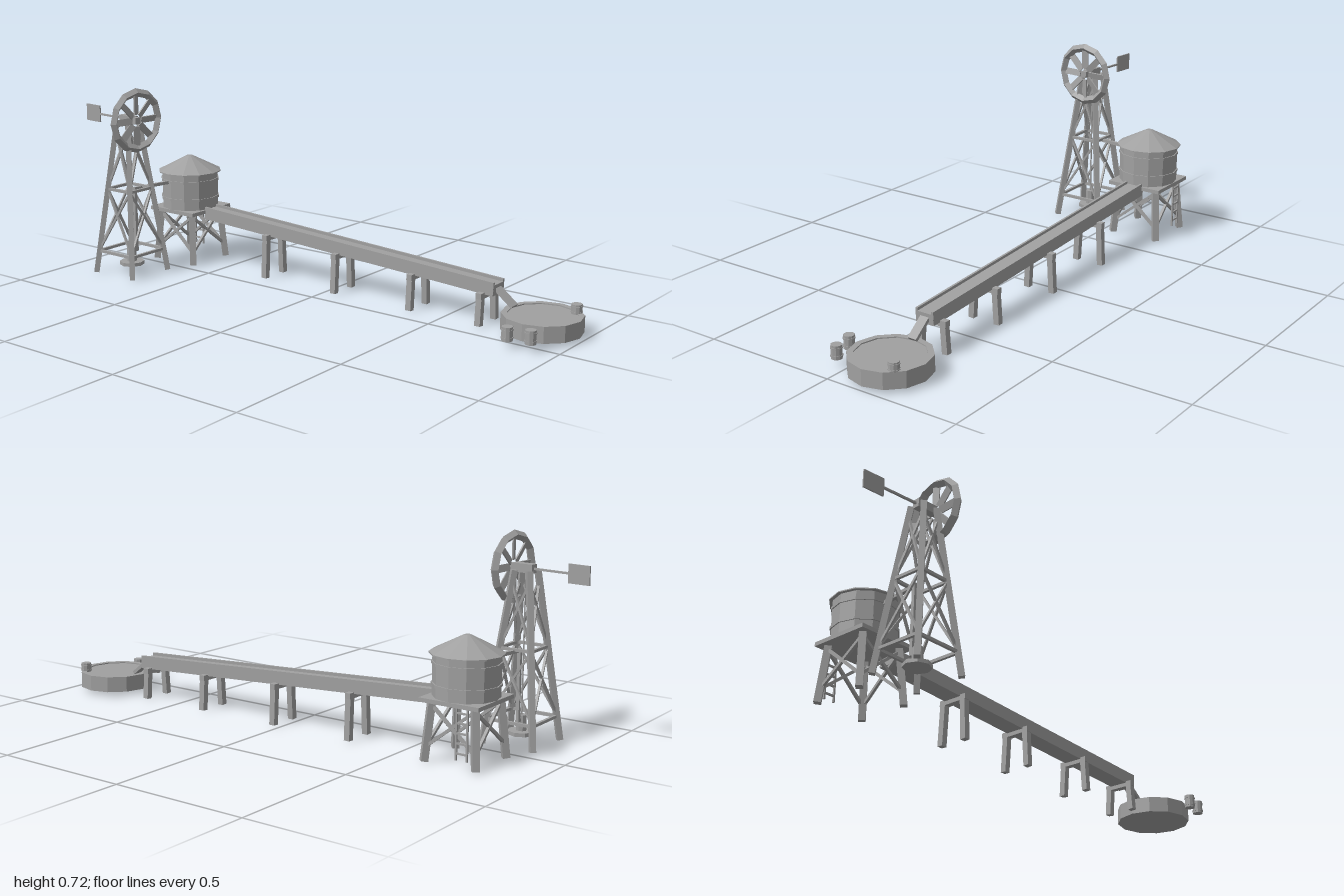
import * as THREE from 'three';

const grey = new THREE.MeshStandardMaterial({ color: 0xa0a0a0, flatShading: true });
const V = (x, y, z) => new THREE.Vector3(x, y, z);
const UP = V(0, 1, 0);

function add(parent, name, geometry, x = 0, y = 0, z = 0) {
  const m = new THREE.Mesh(geometry, grey);
  m.name = name;
  m.position.set(x, y, z);
  parent.add(m);
  return m;
}
function group(parent, name, x = 0, y = 0, z = 0) {
  const g = new THREE.Group();
  g.name = name;
  g.position.set(x, y, z);
  parent.add(g);
  return g;
}
const box = (p, name, w, h, d, x, y, z) => add(p, name, new THREE.BoxGeometry(w, h, d), x, y, z);
const drum = (p, name, r, h, x, y, z, n = 12) =>
  add(p, name, new THREE.CylinderGeometry(r, r, h, n), x, y, z);
const lathe = (p, name, pts, n = 12) =>
  add(p, name, new THREE.LatheGeometry(pts.map(([r, y]) => new THREE.Vector2(r, y)), n));

// square timber between two points, in the parent's own frame
function beam(p, name, a, b, w, h = w) {
  const m = box(p, name, w, h, a.distanceTo(b), 0, 0, 0);
  m.position.copy(a).lerp(b, 0.5);
  m.quaternion.setFromRotationMatrix(new THREE.Matrix4().lookAt(b, a, UP));
}
// corner of a tapering four-legged frame, i = 0..3 going round
const SX = [1, 1, -1, -1], SZ = [1, -1, -1, 1];
const corner = (i, y, half) => V(SX[i % 4] * half, y, SZ[i % 4] * half);

function windmill(root) {
  const g = group(root, 'windmill', -0.152, 0, -0.757);
  const at = (i, y) => corner(i, y, 0.096 - 0.115 * y);
  for (let i = 0; i < 4; i++) {
    beam(g, 'towerLeg', at(i, 0.002), at(i, 0.587), 0.02);
    for (const y of [0.085, 0.327]) beam(g, 'towerRail', at(i, y), at(i + 1, y), 0.01);
    for (const [lo, hi] of [[0.09, 0.325], [0.33, 0.55]]) {
      beam(g, 'towerBrace', at(i, lo), at(i + 1, hi), 0.008);
      beam(g, 'towerBrace', at(i + 1, lo), at(i, hi), 0.008);
    }
  }
  // pump
  drum(g, 'pumpBase', 0.047, 0.013, 0, 0.034, 0, 8);
  drum(g, 'pumpBody', 0.018, 0.056, 0, 0.067, 0, 8);
  drum(g, 'pumpRod', 0.003, 0.49, 0, 0.335, 0, 6);

  // turning head with wheel and tail
  const head = group(g, 'windmillHead', 0, 0.593, 0);
  head.rotation.y = -0.095;
  box(head, 'gearBox', 0.028, 0.03, 0.075, 0, 0, 0.005);
  beam(head, 'tailRod', V(0, 0, -0.03), V(0, 0, -0.17), 0.007);
  box(head, 'tailVane', 0.005, 0.064, 0.08, 0, 0, -0.203);
  const wheel = group(head, 'windWheel', 0, 0, 0.05);
  add(wheel, 'wheelRim', new THREE.TorusGeometry(0.107, 0.0155, 4, 12));
  box(wheel, 'wheelHub', 0.024, 0.024, 0.02, 0, 0, 0);
  for (let i = 0; i < 8; i++) {
    const arm = group(wheel, 'wheelArm');
    arm.rotation.z = i * Math.PI / 4;
    box(arm, 'wheelBlade', 0.08, 0.025, 0.005, 0.062, 0, 0).rotation.x = 0.3;
  }
}

function waterTower(root) {
  const g = group(root, 'waterTower', 0.139, 0, -0.714);
  const at = (i, y) => corner(i, y, 0.096 - 0.08 * y);
  box(g, 'platform', 0.222, 0.014, 0.222, 0, 0.206, 0);
  drum(g, 'tank', 0.111, 0.145, 0, 0.284, 0);
  for (const y of [0.253, 0.323]) drum(g, 'tankHoop', 0.115, 0.009, 0, y, 0);
  lathe(g, 'roof', [[0, 0.352], [0.123, 0.352], [0.123, 0.356], [0.012, 0.413], [0, 0.413]]);
  for (let i = 0; i < 4; i++) {
    beam(g, 'standLeg', at(i, 0.002), at(i, 0.202), 0.024);
    beam(g, 'standBrace', at(i, 0.05), at(i + 1, 0.19), 0.01);
    beam(g, 'standBrace', at(i + 1, 0.05), at(i, 0.19), 0.01);
  }
  // ladder on the left side
  for (const z of [-0.066, -0.026]) box(g, 'ladderRail', 0.006, 0.175, 0.006, 0.1, 0.115, z);
  for (let i = 0; i < 5; i++) box(g, 'ladderRung', 0.006, 0.006, 0.04, 0.1, 0.05 + i * 0.033, -0.046);
}

function feedPipe(root) {
  const g = group(root, 'feedPipe');
  beam(g, 'pipeOutlet', V(-0.15, 0.08, -0.757), V(-0.12, 0.08, -0.757), 0.012);
  beam(g, 'pipeRiser', V(-0.126, 0.075, -0.757), V(-0.126, 0.326, -0.757), 0.012);
  beam(g, 'pipeRun', V(-0.126, 0.32, -0.757), V(0.06, 0.32, -0.727), 0.012);
}

function flume(root) {
  const g = group(root, 'flume', 0.139, 0, 0);
  const floorY = z => 0.108 + (0.69 - z) * 0.0535;
  const run = (name, x, up, w, h) =>
    beam(g, name, V(x, floorY(-0.607) + up, -0.607), V(x, floorY(0.69) + up, 0.69), w, h);
  run('flumeBed', 0, 0.019, 0.07, 0.038);
  for (const s of [-1, 1]) run('flumeWall', s * 0.032, 0.024, 0.008, 0.048);
  beam(g, 'spout', V(0, 0.138, 0.675), V(0, 0.077, 0.753), 0.034, 0.012);
  // trestles
  for (const z of [0.647, 0.366, 0.036, -0.288]) {
    const y = floorY(z);
    const t = group(g, 'trestle', 0, 0, z);
    box(t, 'trestleBar', 0.118, 0.02, 0.022, 0, y - 0.004, 0);
    for (const s of [-1, 1])
      beam(t, 'trestleLeg', V(s * 0.053, 0.001, 0), V(s * 0.045, y, 0), 0.022);
  }
}

function barrel(root, x, y, z, r, h) {
  const g = group(root, 'barrel', x, y, z);
  drum(g, 'barrelBody', r, h, 0, h / 2, 0, 10);
  for (const k of [0.22, 0.78]) drum(g, 'barrelHoop', r + 0.002, h * 0.1, 0, h * k, 0, 10);
}

export function createModel() {
  const root = new THREE.Group();
  root.name = 'windmillWaterworks';
  windmill(root);
  waterTower(root);
  feedPipe(root);
  flume(root);

  // round trough at the end of the flume
  const basin = group(root, 'basin', 0.139, 0, 0.86);
  lathe(basin, 'basinBody', [[0, 0.015], [0.139, 0.015], [0.139, 0.073], [0.118, 0.073], [0.118, 0.069], [0, 0.069]]);

  barrel(root, 0.222, 0.069, 0.942, 0.019, 0.033);
  barrel(root, -0.053, 0.027, 0.836, 0.019, 0.048);
  barrel(root, -0.037, 0.027, 0.913, 0.019, 0.048);
  return root;
}
